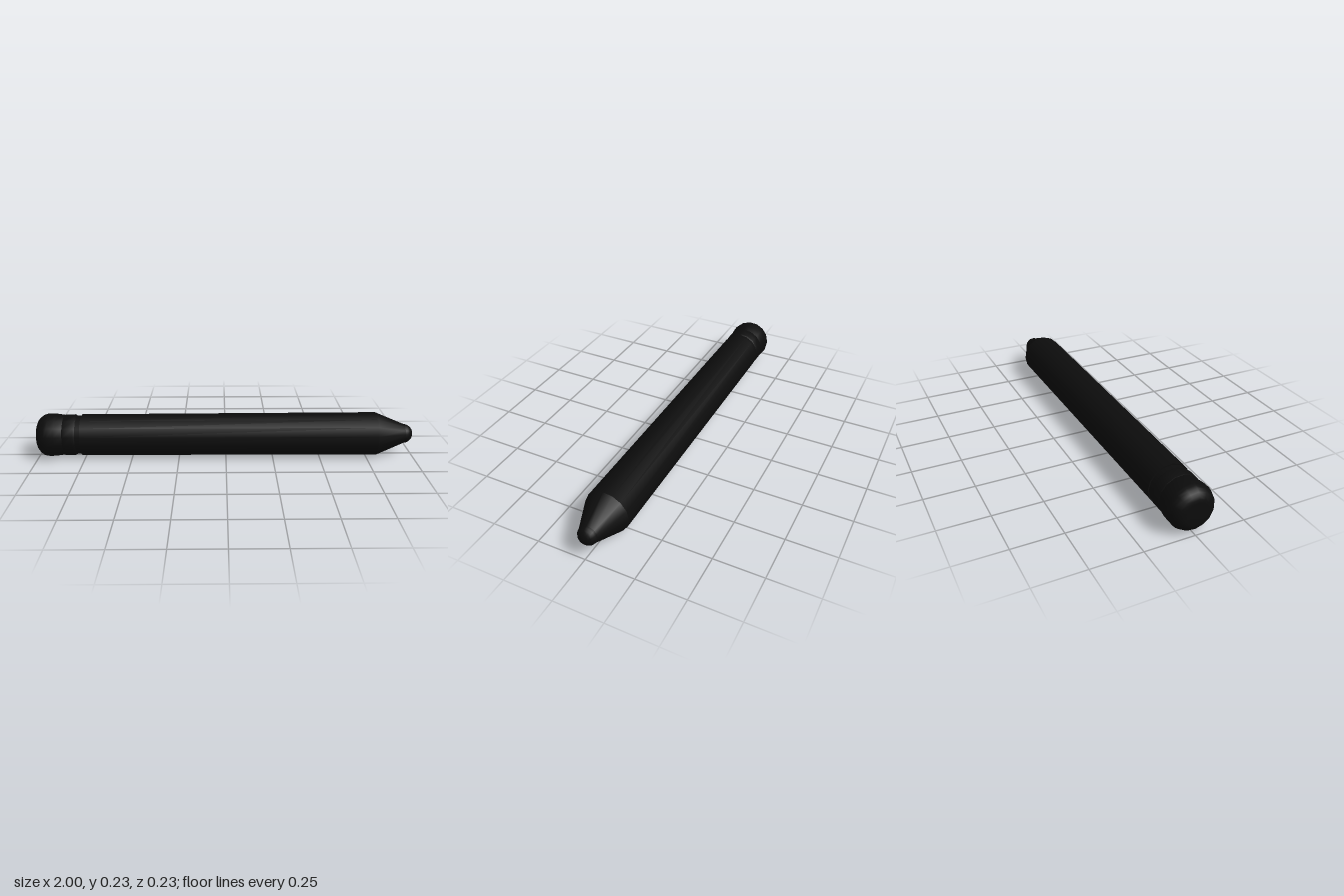
import * as THREE from 'three';

const SIDES = 15;
const CENTER_Y = 0.1155;
const CENTER_Z = 0.001;

export function createModel() {
  const group = new THREE.Group();
  group.name = 'pencil';
  const material = new THREE.MeshStandardMaterial({ color: 0x0c0c0c });

  // Turns a profile of [x along the pencil, radius] around the x axis
  function turned(name, profile) {
    const points = profile.map(([x, r]) => new THREE.Vector2(r, x));
    const geometry = new THREE.LatheGeometry(points, SIDES, Math.PI);
    geometry.rotateZ(-Math.PI / 2);
    const mesh = new THREE.Mesh(geometry, material);
    mesh.name = name;
    mesh.position.set(0, CENTER_Y, CENTER_Z);
    group.add(mesh);
  }

  // Rounded eraser at the blunt end
  const eraser = [[-1, 0]];
  for (let i = 0; i <= 6; i++) {
    const a = (i / 6) * Math.PI / 2;
    eraser.push([-0.935 - 0.065 * Math.cos(a), 0.054 + 0.06 * Math.sin(a)]);
  }
  eraser.push([-0.9, 0.113], [-0.86, 0.107], [-0.85, 0.102]);
  turned('eraser', eraser);

  // Metal sleeve: a raised band, then a shallow groove
  turned('ferruleBand', [[-0.86, 0.1], [-0.855, 0.109], [-0.8, 0.109], [-0.79, 0.102]]);
  turned('ferruleGroove', [[-0.8, 0.103], [-0.75, 0.103]]);

  // Shaft, slightly thicker toward the point
  turned('shaftEnd', [[-0.765, 0.1], [-0.765, 0.109]]);
  turned('shaft', [[-0.765, 0.109], [0.8, 0.1147]]);

  // Sharpened cone and rounded point
  turned('sharpenedCone', [[0.8, 0.1147], [0.955, 0.05]]);
  const point = [];
  for (let i = 0; i <= 6; i++) {
    const a = (i / 6) * Math.PI / 2;
    point.push([0.955 + 0.045 * Math.sin(a), 0.05 * Math.cos(a)]);
  }
  turned('point', point);

  return group;
}
